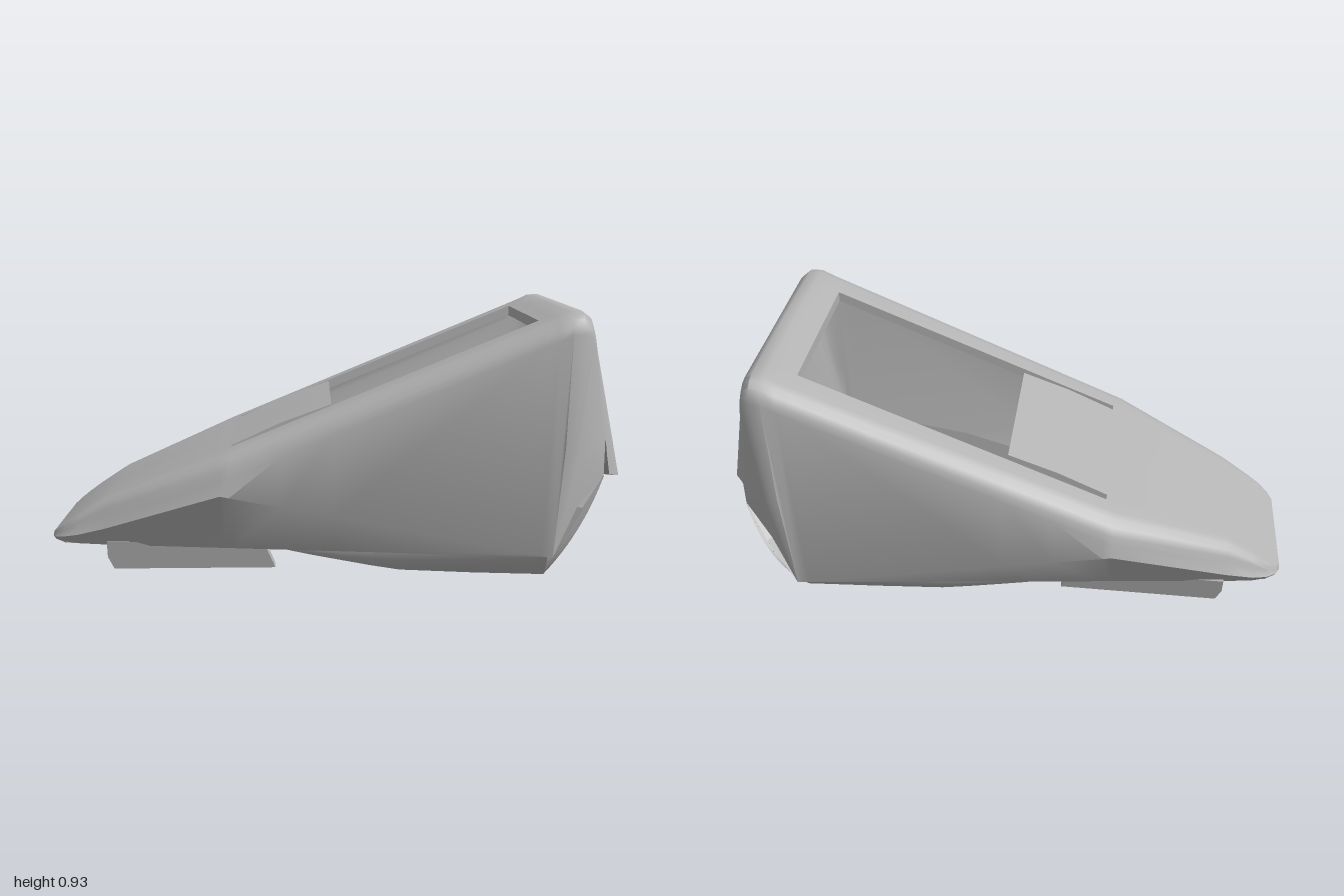
import * as THREE from 'three';
import { toCreasedNormals } from 'three/addons/utils/BufferGeometryUtils.js';

const grey = new THREE.MeshStandardMaterial({ color: 0xb4b4b4, side: THREE.DoubleSide });
grey.name = 'plain grey';
const lerp = THREE.MathUtils.lerp;

// Collects quads, each mirrored in z, and turns them into a mesh
class Sheet {
  constructor() { this.pos = []; }
  tri(a, b, c) {
    this.pos.push(...a, ...b, ...c);
    for (const p of [a, c, b]) this.pos.push(p[0], p[1], -p[2]);
  }
  quad(a, b, c, d) { this.tri(a, b, c); this.tri(c, b, d); }
  grid(rows) {
    for (let i = 0; i + 1 < rows.length; i++)
      for (let k = 0; k + 1 < rows[i].length; k++)
        this.quad(rows[i][k], rows[i][k + 1], rows[i + 1][k], rows[i + 1][k + 1]);
  }
  mesh(name, crease) {
    const g = new THREE.BufferGeometry();
    g.setAttribute('position', new THREE.Float32BufferAttribute(this.pos, 3));
    const m = new THREE.Mesh(toCreasedNormals(g, crease), grey);
    m.name = name;
    return m;
  }
}

// Half section: roof, rounded shoulder, side crease, bottom edge
function ring(x, yT, zT, r, yM, zM, yB, zB, xB = x) {
  const flat = zT - r;
  const pts = [[x, yT, 0], [x, yT, Math.min(0.26, flat * 0.85)], [x, yT, Math.min(0.285, flat * 0.93)]];
  for (let j = 0; j <= 4; j++) {
    const a = (j / 4) * Math.PI / 2;
    pts.push([x, yT - r + r * Math.cos(a), flat + r * Math.sin(a)]);
  }
  pts.push([lerp(x, xB, 0.33), yM, zM], [xB, yB, zB]);
  return pts;
}

function shell() {
  const rings = [
    ring(-1, 0.147, 0.19, 0.005, 0.137, 0.2, 0.13, 0.195),
    ring(-0.985, 0.16, 0.218, 0.012, 0.14, 0.23, 0.127, 0.22),
    ring(-0.95, 0.187, 0.248, 0.025, 0.148, 0.26, 0.125, 0.242),
    ring(-0.9, 0.223, 0.265, 0.04, 0.16, 0.283, 0.122, 0.256),
    ring(-0.8, 0.288, 0.292, 0.06, 0.19, 0.313, 0.12, 0.268),
  ];
  // straight run of the body
  const runX = [-0.4, -0.37, -0.2, -0.03, 0.66, 0.7];
  for (const x of runX) {
    const t = (x + 0.4) / 1.1;
    rings.push(ring(x, lerp(0.454, 0.906, t), lerp(0.415, 0.433, t), lerp(0.08, 0.07, t),
      lerp(0.33, 0.121, t), lerp(0.43, 0.45, t), 0.12, lerp(0.316, 0.45, t)));
  }
  for (const k of [0, 1]) rings[7][k][1] += 0.008; // the tongue bows up slightly
  // roll over the rear top edge
  for (const [x, y, z] of [[0.745, 0.927, 0.434], [0.785, 0.929, 0.43], [0.815, 0.907, 0.415], [0.832, 0.865, 0.39]])
    rings.push(ring(x, y, z, 0.07, (y + 0.05) / 2, (z + 0.45) / 2 + 0.006, 0.12, 0.45, 0.7));
  // lower outline of the rear wall with its corner notches
  rings.push([[1, 0.315, 0], [1, 0.315, 0.097], [1, 0.316, 0.107], [1, 0.32, 0.12], [0.97, 0.33, 0.16],
    [0.945, 0.342, 0.2], [0.917, 0.42, 0.265], [0.89, 0.5, 0.33], [0.89, 0.37, 0.33], [0.8, 0.28, 0.42]]);

  const last = rings.length - 1;
  const inner = rings.map((row, i) => row.map(([x, y, z], k) => {
    const w = k < 3 ? 0 : Math.min(1, (k - 3) / 4);
    const dy = i === last ? 0 : Math.min(0.035, Math.max(0, y - 0.125) * 0.5) * (1 - w);
    return [x - (i > 10 ? 0.025 : 0), y - dy, Math.max(0, z - 0.035 * w)];
  }));

  // window over the roof and a slot beside the tongue
  const hole = (i, k) => (i === 8 && k >= 0 && k < 2) || ((i === 6 || i === 7) && k === 1);
  const s = new Sheet();
  for (let i = 0; i < last; i++) {
    const a = rings[i], b = rings[i + 1], c = inner[i], d = inner[i + 1];
    for (let k = 0; k < 9; k++) {
      if (!hole(i, k)) {
        s.quad(a[k], a[k + 1], b[k], b[k + 1]);
        s.quad(c[k], d[k], c[k + 1], d[k + 1]);
      }
      if (k && hole(i, k) !== hole(i, k - 1)) s.quad(a[k], b[k], c[k], d[k]);
      if (i && hole(i, k) !== hole(i - 1, k)) s.quad(a[k], a[k + 1], c[k], c[k + 1]);
    }
    s.quad(a[9], c[9], b[9], d[9]); // bottom rim
  }
  for (const i of [0, last])
    for (let k = 0; k < 9; k++) s.quad(rings[i][k], inner[i][k], rings[i][k + 1], inner[i][k + 1]);
  return s.mesh('outerShell', 0.7);
}

// Curved skirts below the body, closed on the inside
function skirts() {
  const stations = [
    [[-0.2, 0.14, 0.335], [-0.2, 0.13, 0.335], [-0.2, 0.12, 0.33]],
    [[-0.1, 0.14, 0.343], [-0.1, 0.115, 0.343], [-0.1, 0.099, 0.333]],
    [[0, 0.14, 0.352], [0, 0.1, 0.352], [0, 0.08, 0.335]],
    [[0.1, 0.14, 0.364], [0.1, 0.09, 0.361], [0.1, 0.061, 0.336]],
    [[0.2, 0.14, 0.376], [0.2, 0.08, 0.37], [0.2, 0.045, 0.338]],
    [[0.45, 0.14, 0.406], [0.45, 0.08, 0.4], [0.45, 0.036, 0.348]],
    [[0.69, 0.14, 0.432], [0.69, 0.08, 0.41], [0.69, 0.032, 0.36]],
    [[0.89, 0.37, 0.335], [0.79, 0.21, 0.475], [0.69, 0.032, 0.36]],
  ];
  const rows = stations.map((p) => {
    const curve = new THREE.QuadraticBezierCurve3(...p.map((q) => new THREE.Vector3(...q)));
    const pts = curve.getPoints(8).map((v) => v.toArray());
    pts.push([p[2][0], p[2][1], 0.328]);
    return pts;
  });
  const s = new Sheet();
  s.grid(rows);
  const edge = rows[7].slice(0, 9);
  s.grid([edge, edge.map(([x, y]) => [x, y, 0.328])]); // rear flange
  // inner walls
  s.grid([[-0.2, 0.12, 0.14], [0, 0.08, 0.2], [0.2, 0.045, 0.26], [0.45, 0.036, 0.3], [0.69, 0.032, 0.34], [0.89, 0.37, 0.37]]
    .map(([x, lo, hi]) => [[x, lo, 0.328], [x, hi, 0.328]]));
  return s.mesh('sideSkirts', 0.5);
}

const shapeOf = (pts) => new THREE.Shape(pts.map((p) => new THREE.Vector2(...p)));

// Side profile (x, y) extruded from z0 to z1
function sidePlate(name, pts, z0, z1) {
  const g = new THREE.ExtrudeGeometry(shapeOf(pts), { depth: z1 - z0, bevelEnabled: false });
  const m = new THREE.Mesh(g.translate(0, 0, z0), grey);
  m.name = name;
  return m;
}

// End profile (z, y) extruded along x from x0
function endPlate(name, shape, x0, depth) {
  const g = new THREE.ExtrudeGeometry(shape, { depth, bevelEnabled: false, curveSegments: 10 });
  const m = new THREE.Mesh(g.rotateY(Math.PI / 2).translate(x0, 0, 0), grey);
  m.name = name;
  return m;
}

// Half of the arch outline: flat crown, round shoulder
function archHalf(x, w, top) {
  const pts = [[x, top, 0]];
  for (let j = 0; j <= 8; j++) {
    const a = (j / 8) * Math.PI / 2;
    pts.push([x, 0.13 + (top - 0.13) * Math.cos(a), w * (0.4 + 0.6 * Math.sin(a))]);
  }
  return pts;
}

export function createModel() {
  const model = new THREE.Group();
  model.name = 'slopedCover';
  model.add(shell(), skirts());

  // arched tunnel inside the nose, closing towards the tip
  const arch = new Sheet();
  arch.grid([archHalf(-0.88, 0.21, 0.137), archHalf(-0.8, 0.235, 0.2), archHalf(-0.62, 0.26, 0.27), archHalf(-0.22, 0.3, 0.308)]);
  model.add(arch.mesh('noseTunnel', 0.7));

  // bulkhead around the tunnel mouth
  const wall = shapeOf([[-0.31, 0.13], [0.31, 0.13], [0.37, 0.3], [0.33, 0.35], [-0.33, 0.35], [-0.37, 0.3]]);
  const half = archHalf(0, 0.298, 0.308).map(([, y, z]) => [z, y + 0.003]);
  wall.holes.push(new THREE.Path([...half, ...half.slice(1).reverse().map(([z, y]) => [-z, y])]
    .map((p) => new THREE.Vector2(...p))));
  model.add(endPlate('bulkhead', wall, -0.24, 0.02));

  // rails under the nose, leaning outwards at the foot's inner side
  const profile = [[-0.8, 0.08], [-0.78, 0.035], [-0.225, 0.035], [-0.265, 0.135], [-0.8, 0.135]];
  const rail = new Sheet();
  const outer = profile.map(([x, y]) => [x, y, lerp(0.272, 0.288, (y - 0.035) / 0.1)]);
  const inside = profile.map(([x, y]) => [x, y, lerp(0.226, 0.234, (y - 0.035) / 0.1)]);
  for (let i = 0; i < 5; i++) {
    const j = (i + 1) % 5;
    rail.quad(outer[i], inside[i], outer[j], inside[j]);
  }
  for (const i of [1, 2, 3]) {
    rail.tri(outer[0], outer[i], outer[i + 1]);
    rail.tri(inside[0], inside[i + 1], inside[i]);
  }
  model.add(rail.mesh('noseRails', 0.3));

  // nose floor
  const floorHalf = [[-0.995, 0.19], [-0.95, 0.24], [-0.8, 0.265]];
  const floor = new THREE.ExtrudeGeometry(
    shapeOf([...floorHalf, ...floorHalf.map(([x, z]) => [x, -z]).reverse()]), { depth: 0.015, bevelEnabled: false });
  const floorMesh = new THREE.Mesh(floor.rotateX(Math.PI / 2).translate(0, 0.135, 0), grey);
  floorMesh.name = 'noseFloor';
  model.add(floorMesh);

  // latch tab with flared root, foot and rib
  const tab = new THREE.Shape();
  tab.moveTo(-0.08, 0.01).lineTo(0.08, 0.01).lineTo(0.08, 0.12);
  tab.quadraticCurveTo(0.09, 0.16, 0.17, 0.195).lineTo(-0.17, 0.195);
  tab.quadraticCurveTo(-0.09, 0.16, -0.08, 0.12);
  model.add(endPlate('latchTab', tab, -0.785, 0.03));
  model.add(sidePlate('latchFoot', [[-0.78, 0.003], [-0.68, 0], [-0.645, 0.01], [-0.67, 0.035], [-0.79, 0.04]], -0.08, 0.08));
  model.add(sidePlate('latchRib', [[-0.76, 0.02], [-0.735, 0.02], [-0.7, 0.25], [-0.76, 0.25]], -0.012, 0.012));
  return model;
}
